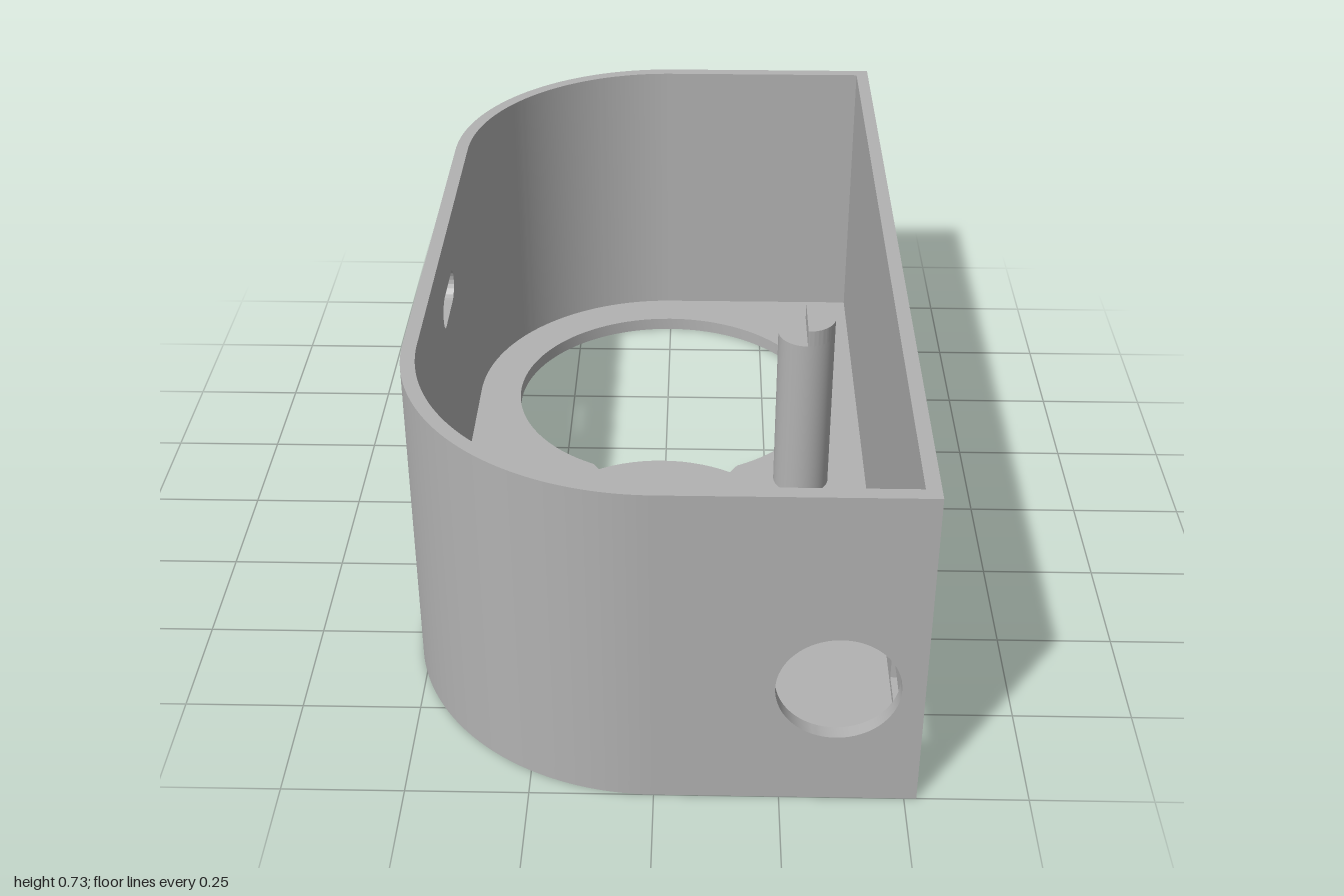
import * as THREE from 'three';
import { toCreasedNormals } from 'three/addons/utils/BufferGeometryUtils.js';

const W = 0.525, L = 1, H = 0.73, T = 0.03, FLOOR = 0.033;
const C = L - W; // z of the rounded corner centres

const gray = new THREE.MeshStandardMaterial({ color: 0xb2b2b2 });
gray.name = 'plain gray';

export function createModel() {
  const model = new THREE.Group();
  model.name = 'enclosure';

  const add = (name, geometry) => {
    const mesh = new THREE.Mesh(toCreasedNormals(geometry, 0.5), gray);
    mesh.name = name;
    model.add(mesh);
    return mesh;
  };
  const extrude = (shape, depth) =>
    new THREE.ExtrudeGeometry(shape, { depth, bevelEnabled: false, curveSegments: 40 });
  // Plan shapes are drawn in (x, -z) and raised along y
  const raise = (shape, y0, y1) =>
    extrude(shape, y1 - y0).rotateX(-Math.PI / 2).translate(0, y0, 0);
  const rect = (x0, y0, x1, y1, Type = THREE.Shape) => {
    const s = new Type();
    s.moveTo(x0, y0);
    s.lineTo(x1, y0);
    s.lineTo(x1, y1);
    s.lineTo(x0, y1);
    s.closePath();
    return s;
  };
  const circle = (x, y, r) => new THREE.Path().absarc(x, y, r, 0, Math.PI * 2);

  // Floor with keyed opening and cup opening
  const floor = new THREE.Shape();
  floor.moveTo(W, -L);
  floor.lineTo(W, L);
  floor.lineTo(0, L);
  floor.absarc(0, C, W, Math.PI / 2, Math.PI);
  floor.absarc(0, -C, W, Math.PI, Math.PI * 1.5);
  floor.closePath();

  const keyed = new THREE.Path();
  const a = Math.asin(0.18 / 0.39);
  keyed.absarc(0, C, 0.39, -Math.PI / 2 + a, Math.PI * 1.5 - a);
  keyed.quadraticCurveTo(-0.15, 0.09, -0.145, 0.035);
  keyed.lineTo(0.145, 0.035);
  keyed.quadraticCurveTo(0.15, 0.09, 0.18, C - 0.39 * Math.cos(a));
  floor.holes.push(keyed, circle(0, -0.47, 0.253));
  add('floor', raise(floor, 0, FLOOR));

  // Rounded corner walls
  for (const [name, cy, start] of [['backCorner', C, Math.PI / 2], ['frontCorner', -C, Math.PI]]) {
    const s = new THREE.Shape();
    s.absarc(0, cy, W, start, start + Math.PI / 2);
    s.absarc(0, cy, W - T, start + Math.PI / 2, start, true);
    s.closePath();
    add(name, raise(s, 0, H));
  }

  // Front wall with round port, plain back wall
  const front = rect(0, 0, W - T, H);
  front.holes.push(circle(0.357, 0.28, 0.122));
  add('frontWall', extrude(front, T).translate(0, 0, L - T));
  add('backWall', extrude(rect(0, 0, W - T, H), T).translate(0, 0, -L));

  // Side walls are drawn in (-z, y)
  const left = rect(-L, 0, L, H);
  left.holes.push(rect(-0.96, 0.05, -0.69, 0.135, THREE.Path));
  add('leftWall', extrude(left, T).rotateY(Math.PI / 2).translate(W - T, 0, 0));

  const right = rect(-C, 0, C, H);
  const slot = new THREE.Path();
  slot.absarc(0.06, 0.572, 0.037, -Math.PI / 2, Math.PI / 2);
  slot.absarc(-0.06, 0.572, 0.037, Math.PI / 2, Math.PI * 1.5);
  slot.closePath();
  right.holes.push(slot);
  add('rightWall', extrude(right, T).rotateY(Math.PI / 2).translate(-W, 0, 0));

  // Raised cup, hollow from below, with a hole in its top
  const profile = [
    [0.253, 0], [0.295, 0.02], [0.295, 0.25], [0.085, 0.25],
    [0.085, 0.18], [0.253, 0.18], [0.253, 0],
  ].map(([r, y]) => new THREE.Vector2(r, y));
  add('cup', new THREE.LatheGeometry(profile, 80).translate(0, 0, 0.47));

  // Post with a stepped top
  const px = 0.335, pz = -0.077, pr = 0.067;
  add('post', new THREE.CylinderGeometry(pr, pr, 0.43, 40).translate(px, 0.235, pz));
  const half = new THREE.Shape().absarc(px, -pz, pr, -Math.PI / 2, Math.PI / 2);
  half.closePath();
  add('postStep', raise(half, 0.45, 0.49));

  return model;
}
